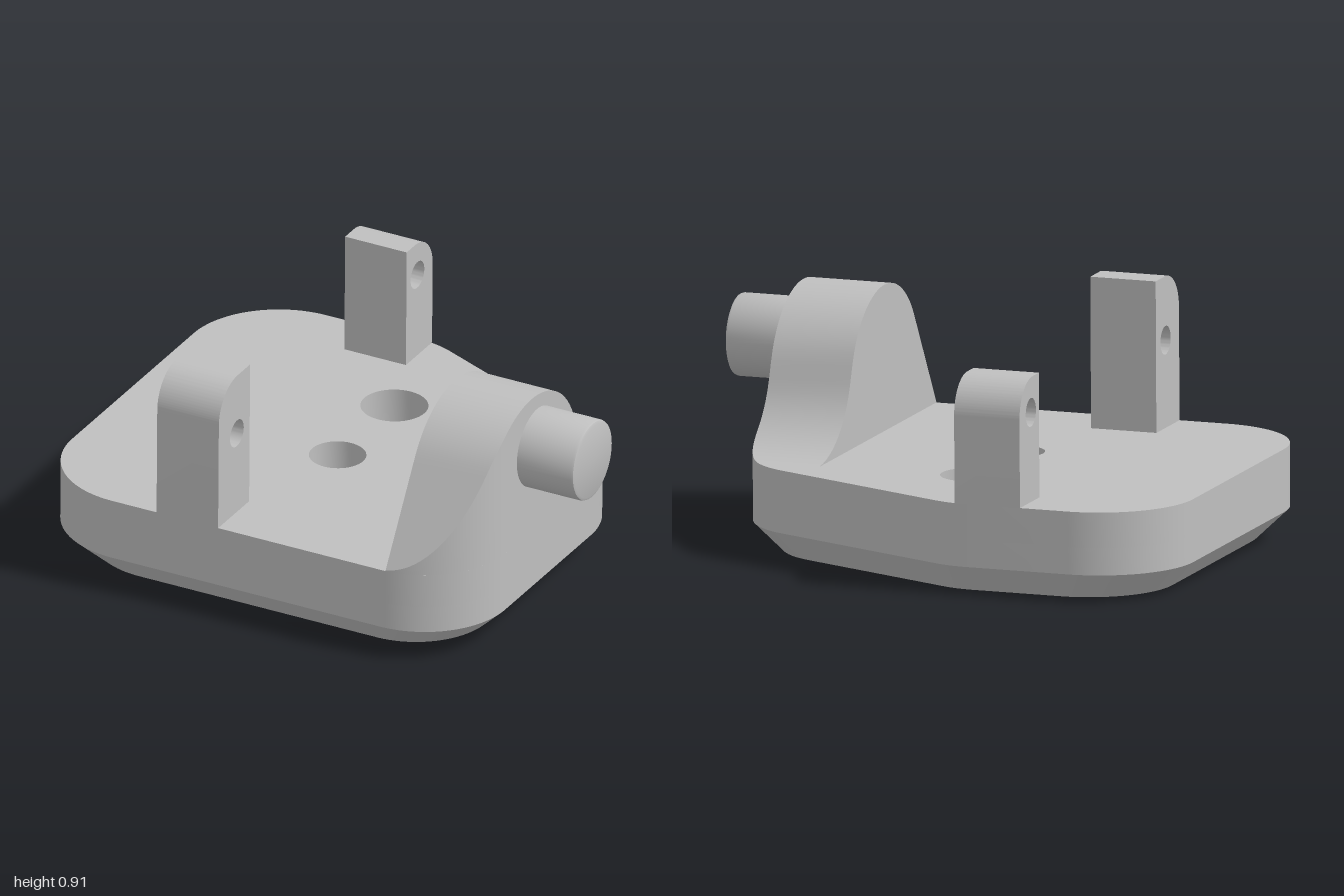
import * as THREE from 'three';
import { toCreasedNormals } from 'three/addons/utils/BufferGeometryUtils.js';

const TOP = 0.342, CHAMFER = 0.112, BOTTOM = 0.0095, SHELF = 0.212;
const CX = -0.115, INSET = 0.885;      // plate centre and size ratio of the underside
const HOLE_X = -0.11;

const circle = (x, y, r) => new THREE.Path().absarc(x, y, r, 0, Math.PI * 2, false);

// Plate outline, drawn as (x, -z); k shrinks it about its centre
function outline(k = 1) {
  const s = new THREE.Shape(), P = Math.PI, cut = 1.165;
  const arc = (x, y, r, a, b) => s.absarc(CX + (x - CX) * k, y * k, r * k, a, b, false);
  arc(-0.65, -0.46, 0.35, P, 1.5 * P);
  arc(0.44, -0.48, 0.33, 1.5 * P, 2 * P);
  arc(0.43, 0.17, 0.34, 0, cut);
  arc(-0.27, 0.46, 0.35, cut, P / 2);
  arc(-0.65, 0.46, 0.35, P / 2, P);
  s.closePath();
  return s;
}

// Horizontal slab of the plate between two heights
function slab(shape, y0, y1) {
  const g = new THREE.ExtrudeGeometry(shape, { depth: y1 - y0, bevelEnabled: false, curveSegments: 24 });
  return g.rotateX(-Math.PI / 2).translate(0, y0, 0);
}

function boredSlab(radii, y0, y1) {
  const s = outline();
  s.holes.push(circle(HOLE_X, 0.32, radii[0]), circle(HOLE_X, -0.11, radii[1]));
  return toCreasedNormals(slab(s, y0, y1), 0.5);
}

// Chamfered underside with a long round-ended slot
function underside() {
  const s = outline(INSET), slot = new THREE.Path();
  slot.absarc(HOLE_X, 0.32, 0.17, 0, Math.PI, false);
  slot.absarc(HOLE_X, -0.42, 0.17, Math.PI, Math.PI * 2, false);
  slot.closePath();
  s.holes.push(slot);
  const g = slab(s, BOTTOM, CHAMFER), p = g.attributes.position;
  for (let i = 0; i < p.count; i++) {
    const x = p.getX(i), z = p.getZ(i);
    const inSlot = Math.abs(x - HOLE_X) < 0.2 && Math.abs(z) < 0.62;
    if (p.getY(i) > 0.06 && !inSlot) {
      p.setX(i, CX + (x - CX) / INSET);
      p.setZ(i, z / INSET);
    }
  }
  return toCreasedNormals(g, 0.5);
}

// Side cheek: rectangles swept along z, following the hump and the plate's edge
function cheek() {
  const root = (r, d) => Math.sqrt(Math.max(0, r * r - d * d));
  const height = (z) => Math.max(TOP,
    z > 0.589 ? 0.708 - 1.644 * (z - 0.589)
      : z > -0.052 ? 0.526 + root(0.35, z - 0.29)
        : TOP + 0.359 - root(0.359, z + 0.4));
  const edge = (z) => Math.max(0.46,
    z > 0.48 ? 0.44 + root(0.33, z - 0.48)
      : z < -0.17 ? 0.43 + root(0.34, z + 0.17) : 0.77);
  const pos = [], index = [], n = 90;
  for (let i = 0; i <= n; i++) {
    const z = 0.205 - 0.605 * Math.cos(Math.PI * i / n);
    const x = edge(z), h = height(z);
    pos.push(0.46, TOP, z, x, TOP, z, x, h, z, 0.46, h, z);
    if (i === n) break;
    for (let j = 0; j < 4; j++) {
      const a = i * 4 + j, b = i * 4 + (j + 1) % 4;
      index.push(a, b, b + 4, a, b + 4, a + 4);
    }
  }
  const g = new THREE.BufferGeometry();
  g.setAttribute('position', new THREE.Float32BufferAttribute(pos, 3));
  g.setIndex(index);
  return toCreasedNormals(g, 0.5);
}

// Upright lug with one rounded outer corner and a pin hole; side is +1 front, -1 back
function lug(side, inner, top, r, holeZ, holeY) {
  const s = new THREE.Shape();
  s.moveTo(side * inner, TOP);
  s.lineTo(side * 0.81, TOP);
  s.absarc(side * (0.81 - r), top - r, r, side > 0 ? 0 : Math.PI, Math.PI / 2, side < 0);
  s.lineTo(side * inner, top);
  s.closePath();
  s.holes.push(circle(side * holeZ, holeY, 0.052));
  const g = new THREE.ExtrudeGeometry(s, { depth: 0.25, bevelEnabled: false, curveSegments: 24 });
  return toCreasedNormals(g.rotateY(-Math.PI / 2).translate(-0.22, 0, 0), 0.5);
}

// Round stub with a softened rim, pointing to +x
function stub() {
  const pts = [[0, 0], [0.15, 0], [0.15, 0.268], [0.147, 0.276], [0.138, 0.28], [0, 0.28]];
  const g = new THREE.LatheGeometry(pts.map(([x, y]) => new THREE.Vector2(x, y)), 64);
  return toCreasedNormals(g.rotateZ(-Math.PI / 2).translate(0.72, 0.667, 0.248), 0.6);
}

export function createModel() {
  const grey = new THREE.MeshStandardMaterial({ color: 0xbfbfbf });
  grey.name = 'grey';
  const body = new THREE.Group();
  body.name = 'body';
  const add = (name, geometry) => {
    const mesh = new THREE.Mesh(geometry, grey);
    mesh.name = name;
    body.add(mesh);
  };
  add('plateUnderside', underside());
  add('plateMiddle', boredSlab([0.072, 0.065], CHAMFER, SHELF));
  add('plateTop', boredSlab([0.122, 0.103], SHELF, TOP));
  add('sideCheek', cheek());
  add('stub', stub());
  add('frontLug', lug(1, 0.575, 0.896, 0.14, 0.672, 0.662));
  add('backLug', lug(-1, 0.612, 0.798, 0.135, 0.695, 0.669));

  // The whole body leans very slightly backwards
  body.rotation.x = -0.0134;
  const model = new THREE.Group();
  model.name = 'mountingBase';
  model.add(body);
  return model;
}
